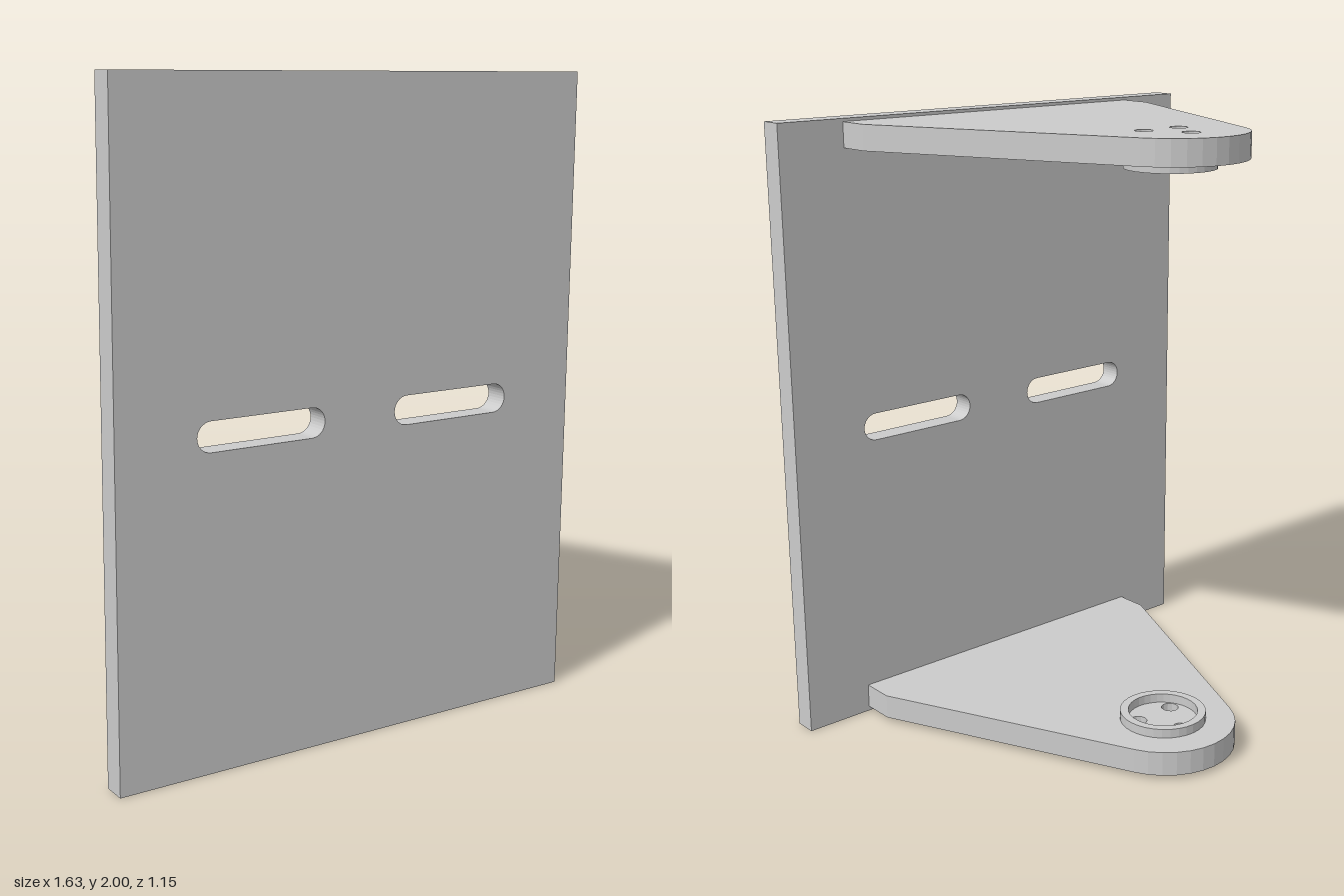
import * as THREE from 'three';

const material = new THREE.MeshStandardMaterial({ color: 0xcccccc });

function extrude(name, shape, depth, curveSegments) {
  const geometry = new THREE.ExtrudeGeometry(shape, { depth, curveSegments, bevelEnabled: false });
  const mesh = new THREE.Mesh(geometry, material);
  mesh.name = name;
  return mesh;
}

function circle(PathType, x, y, r) {
  return new PathType().absarc(x, y, r, 0, Math.PI * 2, false);
}

// Mounting plate with two horizontal slots
function createPlate() {
  const w = 0.815, r = 0.045;
  const shape = new THREE.Shape();
  shape.moveTo(-w, 0).lineTo(w, 0).lineTo(w, 2).lineTo(-w, 2).closePath();
  for (const x of [-0.343, 0.34]) {
    const slot = new THREE.Path();
    slot.absarc(x + 0.17, 1, r, -Math.PI / 2, Math.PI / 2, false);
    slot.absarc(x - 0.17, 1, r, Math.PI / 2, Math.PI * 1.5, false);
    slot.closePath();
    shape.holes.push(slot);
  }
  const plate = extrude('mountingPlate', shape, 0.075, 8);
  plate.position.z = 0.5;
  return plate;
}

// Tapered arm with a rounded tip and three screw holes; shape y becomes z
const tipZ = -0.34;
function createArm(name, topY) {
  const a = Math.atan2(0.407, 0.913);
  const shape = new THREE.Shape();
  shape.moveTo(-0.585, 0.5).lineTo(-0.585, 0.39);
  shape.absarc(0, tipZ, 0.236, Math.PI + a, Math.PI * 2 - a, false);
  shape.lineTo(0.585, 0.39).lineTo(0.585, 0.5).closePath();
  for (const [x, z] of [[0, -0.425], [-0.071, -0.3], [0.071, -0.3]]) {
    shape.holes.push(circle(THREE.Path, x, z, 0.028));
  }
  const arm = extrude(name, shape, 0.08, 6);
  arm.rotation.x = Math.PI / 2;
  arm.position.y = topY;
  return arm;
}

// Raised locating ring on the inner face of an arm
function createRing(name, topY) {
  const shape = circle(THREE.Shape, 0, tipZ, 0.14);
  shape.holes.push(circle(THREE.Path, 0, tipZ, 0.113));
  const ring = extrude(name, shape, 0.03, 16);
  ring.rotation.x = Math.PI / 2;
  ring.position.y = topY;
  return ring;
}

export function createModel() {
  const model = new THREE.Group();
  model.name = 'bracket';
  model.add(
    createPlate(),
    createArm('upperArm', 1.99),
    createArm('lowerArm', 0.095),
    createRing('upperRing', 1.91),
    createRing('lowerRing', 0.125),
  );
  return model;
}
